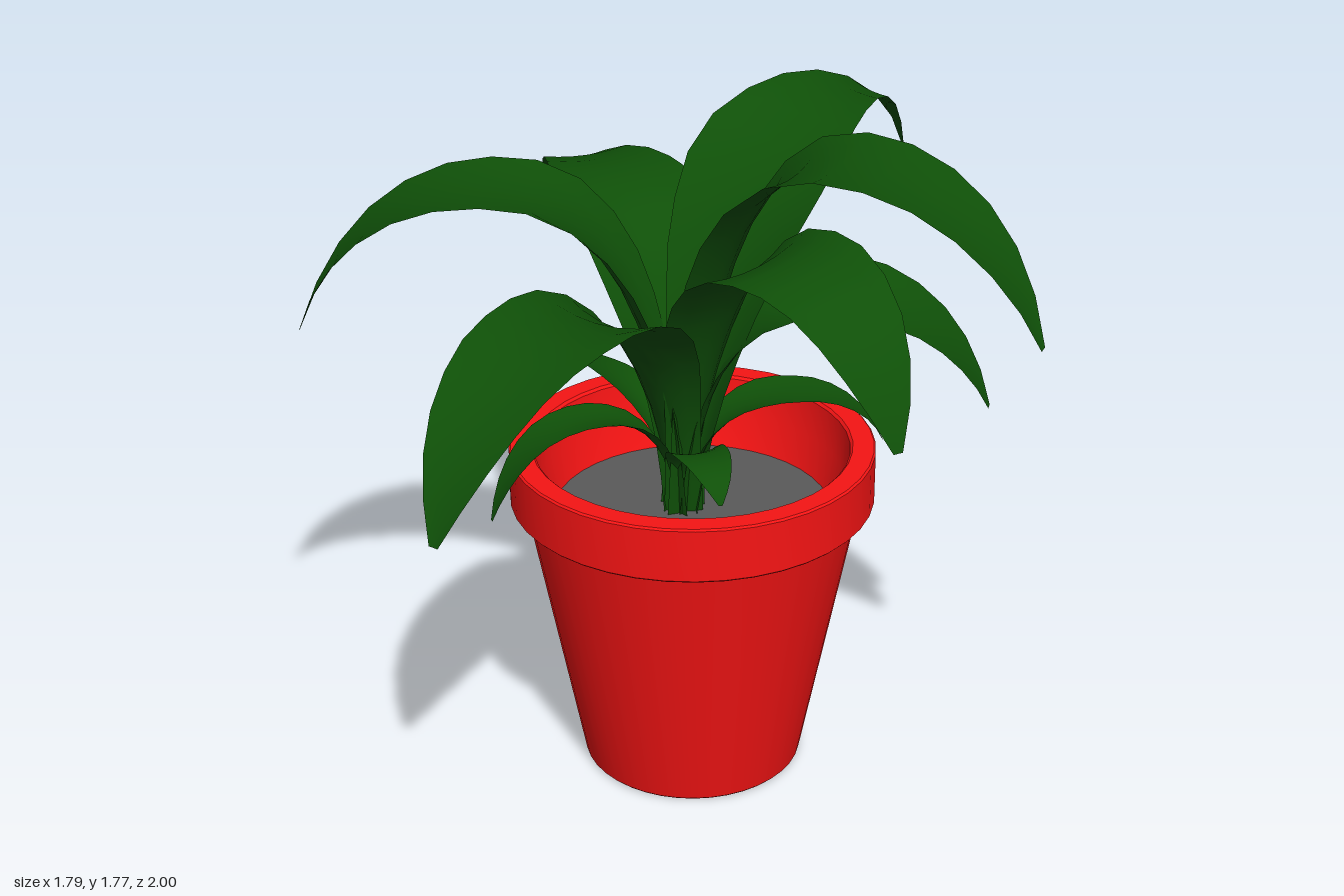
import * as THREE from 'three';
import { toCreasedNormals } from 'three/addons/utils/BufferGeometryUtils.js';

const POT = [-0.015, 0.01]; // pot axis (x, z)
const CROWN = [-0.04, 0.02]; // point the leaves grow from (x, z)
const SOIL = 0.73;

// Relative half width of a leaf from base to tip; taper makes the outer half more pointed
const WIDTHS = [0.3, 0.34, 0.46, 0.66, 0.88, 1, 0.98, 0.88, 0.7, 0.44, 0.07];
const widthAt = (t, taper) => {
  const f = t * (WIDTHS.length - 1);
  const i = Math.min(Math.floor(f), WIDTHS.length - 2);
  const slim = 1 - taper * Math.max(0, (t - 0.55) / 0.45);
  return slim * THREE.MathUtils.lerp(WIDTHS[i], WIDTHS[i + 1], f - i);
};

// Centre line in (distance from crown, height): steep rise to the crest, then a droop to the tip
function arch(crestR, crestY, tipR, tipY) {
  const v = (x, y) => new THREE.Vector2(x, y);
  const rise = crestY - SOIL, dr = tipR - crestR, drop = crestY - tipY;
  const path = new THREE.CurvePath();
  path.add(new THREE.CubicBezierCurve(
    v(0.01, SOIL), v(0.01 + 0.08 * crestR, SOIL + 0.6 * rise),
    v(0.35 * crestR, crestY), v(crestR, crestY)));
  path.add(new THREE.CubicBezierCurve(
    v(crestR, crestY), v(crestR + 0.5 * dr, crestY),
    v(tipR - 0.15 * dr, crestY - 0.45 * drop), v(tipR, tipY)));
  return path;
}

// Blade swept along the arch, channelled near its base, rolling and swaying sideways
function leafGeometry(dx, dz, halfWidth, crestR, crestY, tipY, roll = 0, taper = 0, sway = 0) {
  const rows = 16, cols = 6;
  const len = Math.hypot(dx, dz);
  const curve = arch(crestR, crestY, len, tipY);
  const ux = dx / len, uz = dz / len;
  const pos = [], index = [];
  for (let i = 0; i <= rows; i++) {
    const t = i / rows;
    const p = curve.getPointAt(t), tan = curve.getTangentAt(t);
    const w = halfWidth * widthAt(t, taper);
    const depth = w * THREE.MathUtils.lerp(0.6, 0.1, Math.min(1, t * 1.6));
    const drift = sway * Math.sin(Math.PI * t);
    for (let j = 0; j <= cols; j++) {
      const s = (j / cols) * 2 - 1;
      const lift = depth * (s * s - 0.3) + s * w * Math.sin(roll * t);
      const side = s * w * Math.cos(roll * t) + drift;
      const r = p.x - tan.y * lift, y = p.y + tan.x * lift;
      pos.push(CROWN[0] + ux * r + uz * side, y, CROWN[1] + uz * r - ux * side);
      if (i < rows && j < cols) {
        const a = i * (cols + 1) + j, b = a + cols + 1;
        index.push(a, b, a + 1, b, b + 1, a + 1);
      }
    }
  }
  const g = new THREE.BufferGeometry();
  g.setAttribute('position', new THREE.Float32BufferAttribute(pos, 3));
  g.setIndex(index);
  g.computeVertexNormals();
  return g;
}

// Reach (x, z), half width, crest distance, crest height, tip height, then roll, taper, sway
const LEAVES = {
  backLeaf: [0.04, -1.02, 0.2, 0.58, 1.725, 1.44, 0.25, 0.8, -0.045],
  frontLeaf: [-0.01, 0.98, 0.19, 0.5, 1.425, 1.05],
  leftLeaf: [0.93, -0.19, 0.2, 0.44, 1.76, 1.36],
  frontLeftLeaf: [0.8, 0.26, 0.17, 0.47, 1.57, 1.23, 0.3],
  backLeftLeaf: [0.63, -0.5, 0.16, 0.37, 1.345, 1.0, 0.3],
  backRightLeaf: [-0.85, -0.55, 0.19, 0.52, 1.505, 1.22, 0, 0.45],
  frontRightLeaf: [-0.81, 0.55, 0.19, 0.49, 1.63, 1.24],
  smallRightLeaf: [-0.56, -0.08, 0.075, 0.36, 1.055, 0.92, 0.5],
  smallFrontLeaf: [-0.28, 0.45, 0.075, 0.29, 1.04, 0.8],
  smallBackLeaf: [0.4, -0.35, 0.085, 0.3, 1.055, 0.9],
  smallLeftLeaf: [0.26, 0.2, 0.075, 0.21, 0.97, 0.9],
};

export function createModel() {
  const model = new THREE.Group();
  const add = (name, geometry, material) => {
    const mesh = new THREE.Mesh(geometry, material);
    mesh.name = name;
    model.add(mesh);
    return mesh;
  };

  // Pot: tapered body, overhanging rim and hollow inside
  const profile = [
    [0, 0], [0.288, 0], [0.295, 0.007], [0.442, 0.775],
    [0.475, 0.775], [0.48, 0.78], [0.48, 0.92], [0.475, 0.925],
    [0.42, 0.925], [0.413, 0.918], [0.4, 0.82], [0.36, 0.71], [0, 0.71],
  ].map(([r, y]) => new THREE.Vector2(r, y));
  const red = new THREE.MeshStandardMaterial({ color: 0xf61414 });
  const pot = add('pot', toCreasedNormals(new THREE.LatheGeometry(profile, 40), 0.5), red);
  pot.position.set(POT[0], 0, POT[1]);

  // Soil disc
  const grey = new THREE.MeshStandardMaterial({ color: 0x5a5a5a });
  const soil = add('soil', new THREE.CircleGeometry(0.372, 40), grey);
  soil.rotation.x = -Math.PI / 2;
  soil.position.set(POT[0], SOIL, POT[1]);

  // Leaves
  const green = new THREE.MeshStandardMaterial({ color: 0x0f5008, side: THREE.DoubleSide });
  for (const [name, spec] of Object.entries(LEAVES)) {
    add(name, leafGeometry(...spec), green);
  }
  return model;
}
